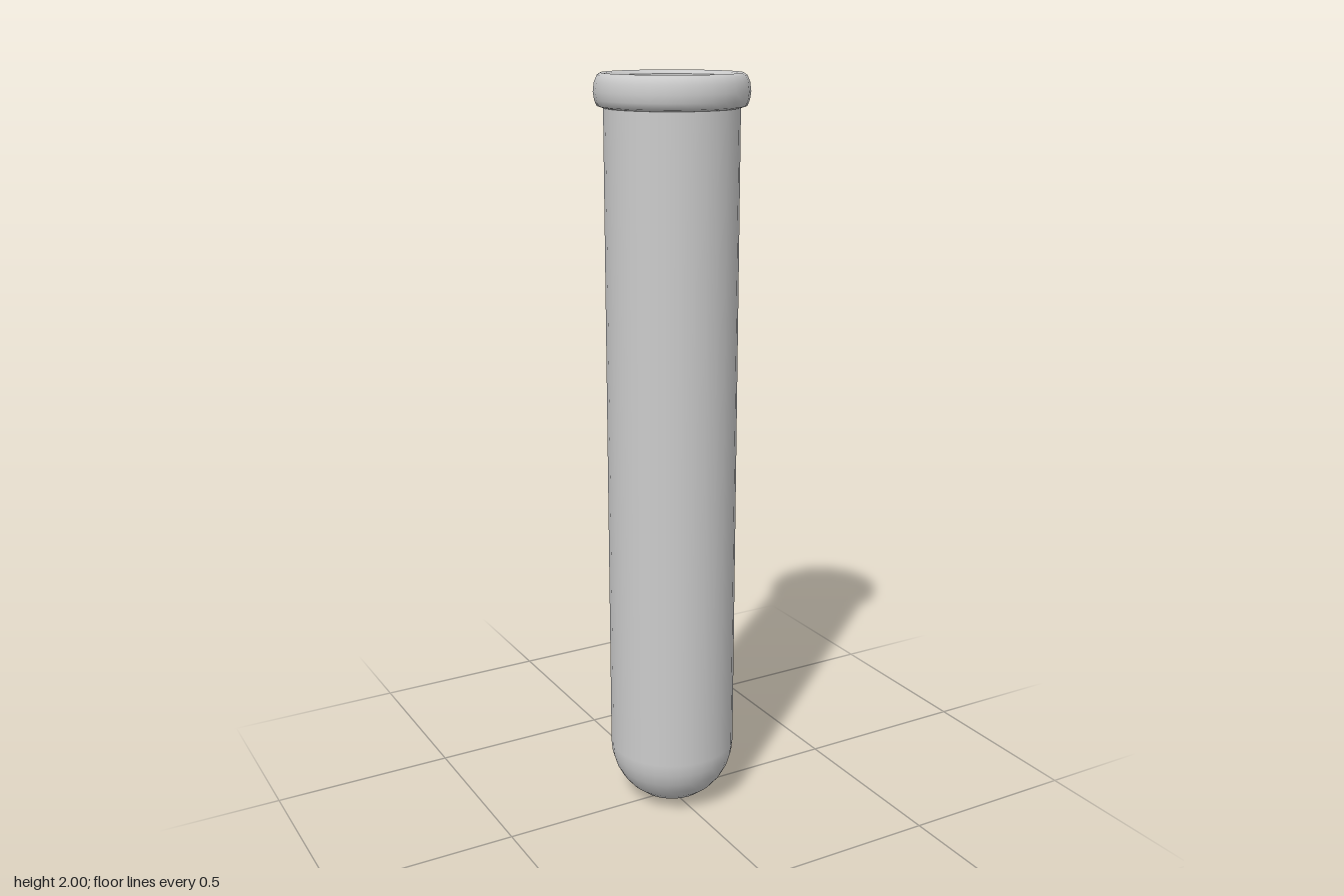
import * as THREE from 'three';

const SEGMENTS = 32;
const OUTER = 0.172;
const INNER = 0.166;
const RIM_BASE = 1.915;

const material = new THREE.MeshStandardMaterial({ color: 0xcccccc });

function lathe(name, points) {
  const geometry = new THREE.LatheGeometry(points.map(([r, y]) => new THREE.Vector2(r, y)), SEGMENTS);
  const mesh = new THREE.Mesh(geometry, material);
  mesh.name = name;
  return mesh;
}

// Wall profile: rounded bottom, then straight up to the given height
function wallProfile(radius, top, steps = 8) {
  const points = [];
  for (let i = 0; i <= steps; i++) {
    const a = (i / steps) * Math.PI / 2;
    points.push([radius * Math.sin(a), OUTER - radius * Math.cos(a)]);
  }
  points.push([radius, top]);
  return points;
}

export function createModel() {
  const group = new THREE.Group();
  group.name = 'testTube';

  // Thin glass wall, outside and inside
  group.add(lathe('outerWall', wallProfile(OUTER, RIM_BASE + 0.01)));
  group.add(lathe('innerWall', wallProfile(INNER, 1.99).reverse()));

  // Rounded lip around the mouth
  group.add(lathe('rim', [
    [OUTER, RIM_BASE], [0.188, 1.92], [0.194, 1.935], [0.197, 1.955],
    [0.194, 1.978], [0.187, 1.994], [0.178, 2], [0.17, 1.997], [INNER, 1.99],
  ]));

  return group;
}
